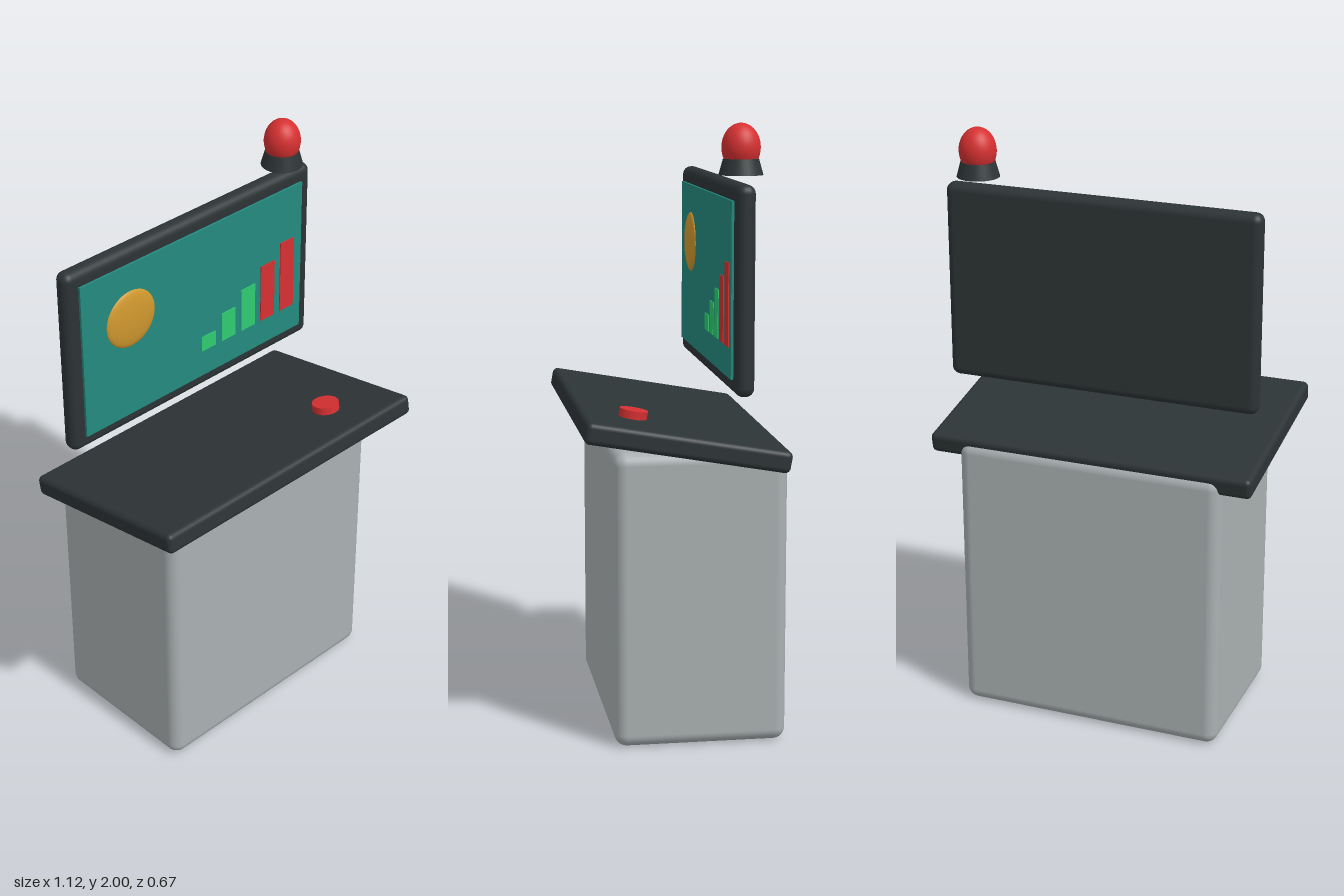
import * as THREE from 'three';
import { RoundedBoxGeometry } from 'three/addons/geometries/RoundedBoxGeometry.js';

const material = (name, color) => {
  const m = new THREE.MeshStandardMaterial({ color });
  m.name = name;
  return m;
};

export function createModel() {
  const model = new THREE.Group();
  model.name = 'controlDesk';

  const grey = material('cabinetGrey', 0xaab0b2);
  const dark = material('charcoal', 0x2d3436);
  const teal = material('screenTeal', 0x238a7e);
  const green = material('barGreen', 0x2ecc71);
  const red = material('signalRed', 0xd63031);
  const orange = material('discOrange', 0xd0982e);

  const add = (name, geometry, mat, x, y, z, parent = model) => {
    const mesh = new THREE.Mesh(geometry, mat);
    mesh.name = name;
    mesh.position.set(x, y, z);
    parent.add(mesh);
    return mesh;
  };

  // Cabinet
  add('cabinet', new RoundedBoxGeometry(0.915, 0.967, 0.56, 5, 0.04), grey, -0.002, 0.4875, -0.053);

  // Sloping desktop with its push button
  const desk = new THREE.Group();
  desk.name = 'desk';
  desk.position.set(0, 1.005, 0.004);
  desk.rotation.x = -THREE.MathUtils.degToRad(10);
  model.add(desk);
  add('desktop', new RoundedBoxGeometry(1.118, 0.07, 0.66, 4, 0.018), dark, 0, 0, 0, desk);
  add('button', new THREE.CylinderGeometry(0.046, 0.046, 0.035, 32), red, 0.325, 0.044, 0.157, desk);

  // Monitor
  add('monitorFrame', new RoundedBoxGeometry(1.07, 0.66, 0.062, 5, 0.028), dark, -0.001, 1.485, -0.175);
  add('screen', new THREE.BoxGeometry(0.972, 0.558, 0.009), teal, -0.002, 1.485, -0.1405);
  const disc = add('screenDisc', new THREE.SphereGeometry(0.102, 40, 24), orange, -0.287, 1.568, -0.137);
  disc.scale.z = 0.18;

  // Rising bar chart
  for (let i = 0; i < 5; i++) {
    const height = 0.055 + i * 0.0525;
    add('chartBar' + (i + 1), new THREE.BoxGeometry(0.064, height, 0.006),
      i < 3 ? green : red, 0.05 + i * 0.0915, 1.304 + height / 2, -0.136);
  }

  // Warning beacon
  add('beaconBase', new THREE.CylinderGeometry(0.056, 0.07, 0.05, 32), dark, 0.425, 1.865, -0.175);
  const dome = add('beaconDome', new THREE.SphereGeometry(0.061, 32, 24), red, 0.425, 1.925, -0.175);
  dome.scale.y = 1.23;

  return model;
}
